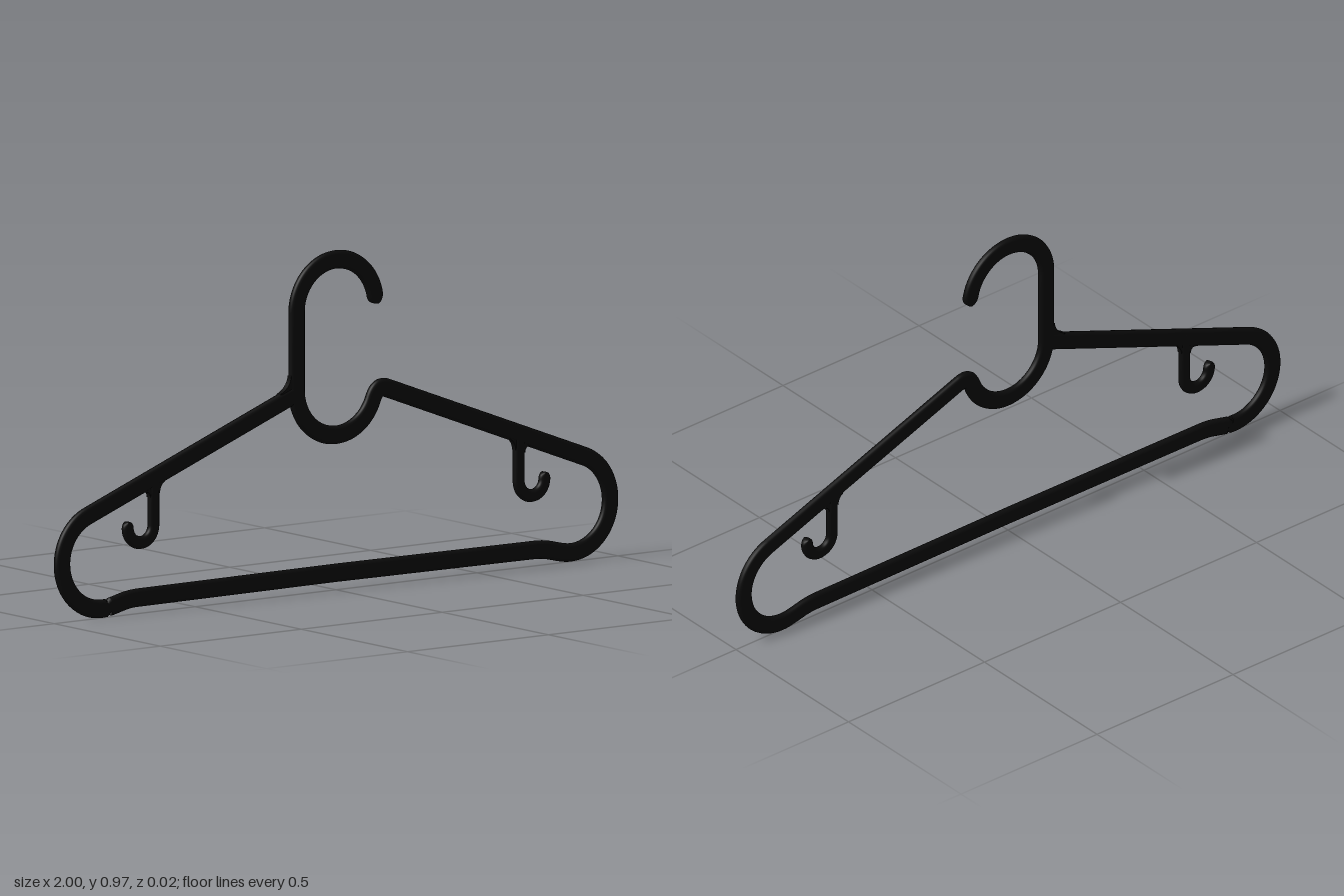
import * as THREE from 'three';

const HALF_Z = 0.011; // half thickness of the flattened bar
const rad = THREE.MathUtils.degToRad;

// Sweeps a rounded flat section along a planar path, with rounded ends.
function sweep(path, halfWidth) {
  const pts = path.getPoints(24).filter((p, i, a) => i === 0 || p.distanceTo(a[i - 1]) > 1e-4);
  const last = pts.length - 1;
  const dir = (i) => pts[i + 1].clone().sub(pts[i]).normalize();
  const rings = pts.map((p, i) => {
    const t = i === 0 ? dir(0) : i === last ? dir(last - 1) : dir(i - 1).add(dir(i)).normalize();
    return { p, t, k: 1 };
  });
  // end caps: the section narrows along a half circle
  const cap = (end, sign) => [1, 2, 3, 4, 5, 6].map((s) => {
    const a = (s / 6) * Math.PI / 2;
    return { p: end.p.clone().addScaledVector(end.t, sign * halfWidth * Math.sin(a)), t: end.t, k: Math.cos(a) };
  });
  const all = [...cap(rings[0], -1).reverse(), ...rings, ...cap(rings[last], 1)];

  // section: flat front and back, half-round edges
  const section = [];
  for (let side = 0; side < 2; side++) {
    for (let j = 0; j <= 6; j++) {
      const a = -Math.PI / 2 + side * Math.PI + (j / 6) * Math.PI;
      section.push([(side ? -1 : 1) * (halfWidth - HALF_Z) + HALF_Z * Math.cos(a), HALF_Z * Math.sin(a)]);
    }
  }
  const n = section.length;
  const pos = [];
  const index = [];
  all.forEach(({ p, t, k }, i) => {
    section.forEach(([u, v], j) => {
      pos.push(p.x - t.y * u * k, p.y + t.x * u * k, v);
      if (i === all.length - 1) return;
      const j2 = (j + 1) % n;
      const a = i * n + j, b = i * n + j2, c = a + n, d = b + n;
      index.push(a, b, d, a, d, c);
    });
  });
  const geo = new THREE.BufferGeometry();
  geo.setAttribute('position', new THREE.Float32BufferAttribute(pos, 3));
  geo.setIndex(index);
  geo.computeVertexNormals();
  return geo;
}

// Small concave web filling the corner between two bars.
function fillet(corner, a, b, mid) {
  const shape = new THREE.Shape();
  shape.moveTo(...corner);
  shape.lineTo(...a);
  shape.quadraticCurveTo(...mid, ...b);
  shape.closePath();
  const depth = HALF_Z * 1.6;
  return new THREE.ExtrudeGeometry(shape, { depth, bevelEnabled: false, curveSegments: 8 })
    .translate(0, 0, -depth / 2);
}

export function createModel() {
  const group = new THREE.Group();
  group.name = 'clothesHanger';
  const black = new THREE.MeshStandardMaterial({ color: 0x0b0b0b });
  black.name = 'black plastic';
  const add = (name, geo) => {
    const mesh = new THREE.Mesh(geo, black);
    mesh.name = name;
    group.add(mesh);
  };
  const W = 0.0265;

  // Hook: tip, top arc, stem, lower loop and the bend into the arm
  const hook = new THREE.Path();
  hook.absarc(0, 0.8085, 0.14, rad(11), Math.PI, false);
  hook.lineTo(-0.14, 0.585);
  hook.absarc(0, 0.585, 0.14, Math.PI, rad(338), false);
  hook.bezierCurveTo(0.141, 0.561, 0.154, 0.572, 0.182, 0.5615);
  add('hook', sweep(hook, W));

  // Frame: right arm, shoulder, bottom bar, other shoulder and arm
  const frame = new THREE.Path();
  frame.moveTo(0.182, 0.5615);
  frame.lineTo(0.881, 0.2976);
  frame.absarc(0.832, 0.1665, 0.14, rad(69.5), rad(-100), true);
  frame.bezierCurveTo(0.77, 0.035, 0.75, 0.046, 0.7, 0.046);
  frame.lineTo(0, 0.049);
  frame.lineTo(-0.7, 0.046);
  frame.bezierCurveTo(-0.75, 0.046, -0.77, 0.035, -0.808, 0.0286);
  frame.absarc(-0.832, 0.1665, 0.14, rad(280), rad(110.5), true);
  frame.lineTo(-0.155, 0.5717);
  add('frame', sweep(frame, W));
  add('stemFillet', fillet([-0.15, 0.575], [-0.165, 0.63], [-0.205, 0.58], [-0.168, 0.597]));

  // Strap hooks under both arms
  for (const s of [1, -1]) {
    const side = s > 0 ? 'left' : 'right';
    const strap = new THREE.Path();
    strap.moveTo(s * 0.648, 0.38);
    strap.lineTo(s * 0.648, 0.2487);
    strap.absarc(s * 0.6935, 0.2487, 0.0455, s > 0 ? Math.PI : 0, s > 0 ? 2 * Math.PI : -Math.PI, s < 0);
    add(side + 'StrapHook', sweep(strap, 0.0185));
    add(side + 'StrapFilletInner',
      fillet([s * 0.645, 0.38], [s * 0.631, 0.34], [s * 0.612, 0.373], [s * 0.63, 0.364]));
    add(side + 'StrapFilletOuter',
      fillet([s * 0.65, 0.37], [s * 0.665, 0.33], [s * 0.682, 0.346], [s * 0.666, 0.35]));
  }
  return group;
}
